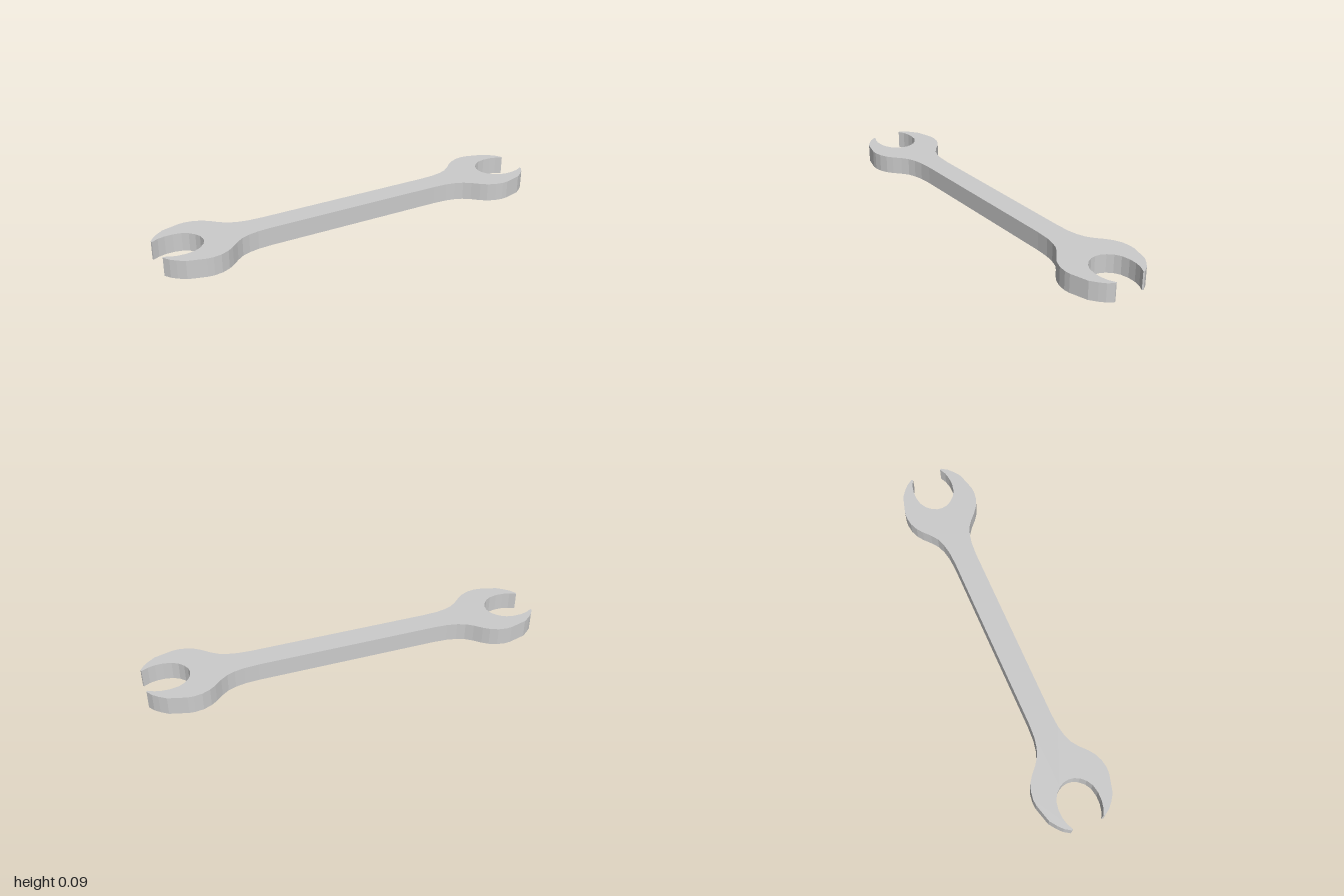
import * as THREE from 'three';

const THICKNESS = 0.093;

// One quarter of the outline (x, half width), from the handle round the jaw to the throat
const QUARTER = [
  // handle and flared neck
  [0.46, 0.059], [0.53, 0.063], [0.58, 0.073], [0.62, 0.088], [0.655, 0.113],
  [0.69, 0.145], [0.72, 0.167], [0.76, 0.184], [0.80, 0.19],
  // rounded outside of the jaw
  [0.83, 0.188], [0.87, 0.177], [0.92, 0.163], [0.955, 0.138], [0.98, 0.115],
  // jaw tip
  [1.0, 0.085], [0.997, 0.077],
  // inside of the mouth
  [0.965, 0.093], [0.93, 0.101], [0.89, 0.102], [0.85, 0.094], [0.82, 0.077],
  [0.797, 0.052], [0.784, 0.026], [0.78, 0],
];

export function createModel() {
  const group = new THREE.Group();
  group.name = 'openEndedWrench';
  const material = new THREE.MeshStandardMaterial({ color: 0xcccccc, flatShading: true });

  // Mirror the quarter into the full outline, dropping doubled throat points
  const mirror = (sx, sy) => QUARTER.map(([x, y]) => new THREE.Vector2(sx * x, sy * y));
  const outline = [
    ...mirror(1, -1),
    ...mirror(1, 1).reverse().slice(1),
    ...mirror(-1, 1),
    ...mirror(-1, -1).reverse().slice(1),
  ];

  // Flat forged body, extruded upward from the ground
  const geometry = new THREE.ExtrudeGeometry(new THREE.Shape(outline), {
    depth: THICKNESS,
    bevelEnabled: false,
  });
  geometry.rotateX(-Math.PI / 2);
  const body = new THREE.Mesh(geometry, material);
  body.name = 'wrenchBody';
  group.add(body);

  return group;
}
